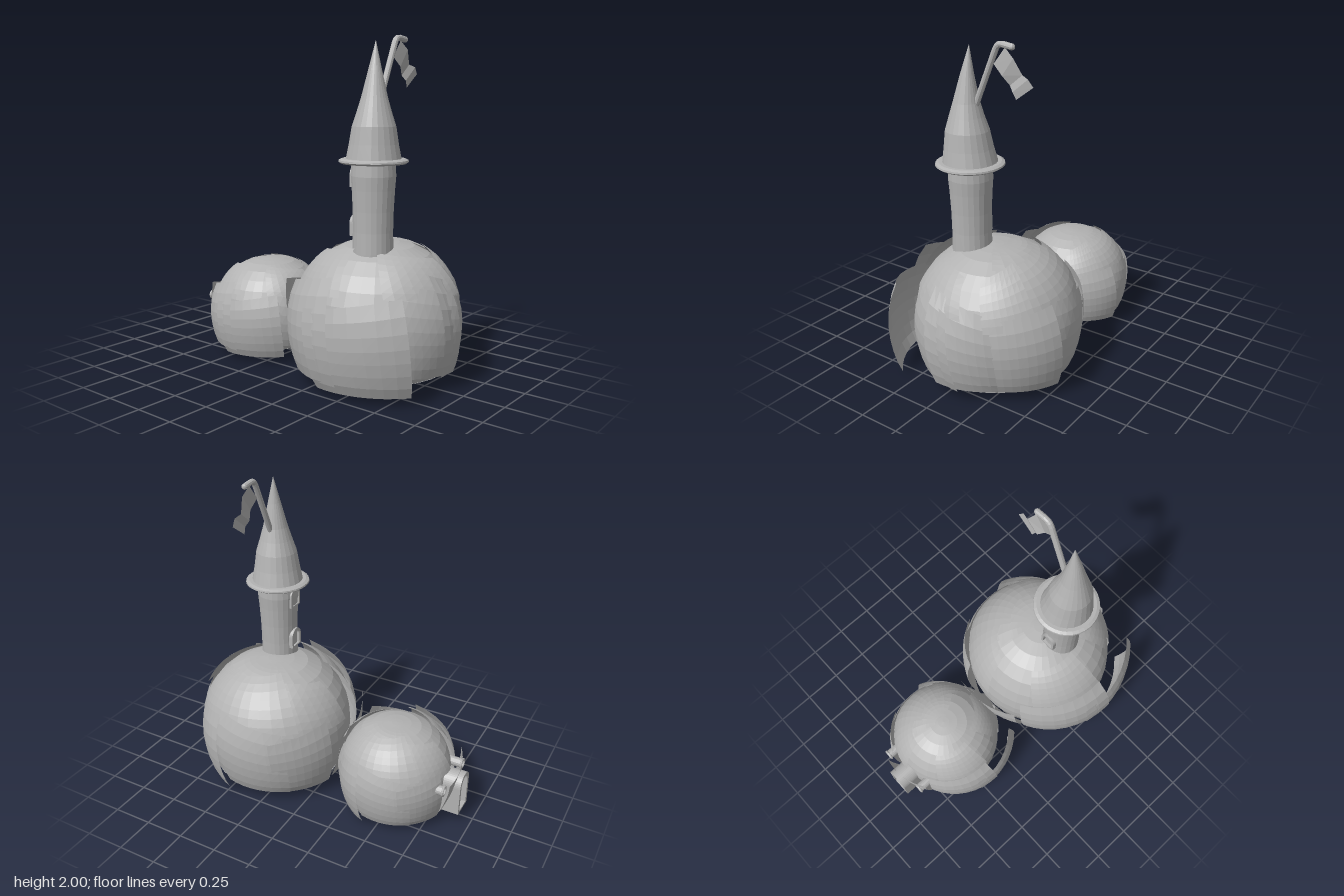
import * as THREE from 'three';

const stone = new THREE.MeshStandardMaterial({ color: 0xb2b2b2, flatShading: true, side: THREE.DoubleSide });
stone.name = 'stone grey';

function add(parent, name, geometry, x = 0, y = 0, z = 0) {
  const mesh = new THREE.Mesh(geometry, stone);
  mesh.name = name;
  mesh.position.set(x, y, z);
  parent.add(mesh);
  return mesh;
}

const V2 = (list) => list.map(([r, y]) => new THREE.Vector2(r, y));

// Dome outline from the tucked-under rim (t = 0) to the crown (t = 1)
const outline = new THREE.SplineCurve(V2([
  [0.34, 0.0], [0.42, 0.06], [0.457, 0.14], [0.48, 0.25], [0.486, 0.36],
  [0.468, 0.48], [0.418, 0.6], [0.325, 0.71], [0.2, 0.78], [0.08, 0.8], [0, 0.805],
]));

// Curved shell plate: starts at azimuth a0, sweeps to a1, lifting off the dome
function plateGeometry([a0, a1, t0, t1, lift0, lift1, skew = 0, curl = 0]) {
  const g = new THREE.PlaneGeometry(1, 1, 8, 7);
  const p = g.attributes.position;
  for (let i = 0; i < p.count; i++) {
    const u = p.getX(i) + 0.5, v = p.getY(i) + 0.5;
    const t = THREE.MathUtils.clamp(t0 + (t1 - t0) * v + skew * (u - 0.5) * (0.4 + v), 0, 0.985);
    const q = outline.getPoint(t), d = outline.getTangent(t);
    const lift = lift0 + (lift1 - lift0) * u + curl * v * v;
    const r = q.x + d.y * lift, y = Math.max(0, q.y - d.x * lift * 0.6);
    const a = THREE.MathUtils.degToRad(a0 + (a1 - a0) * u + 6 * (v - 0.5));
    p.setXYZ(i, r * Math.cos(a), y, r * Math.sin(a));
  }
  g.computeVertexNormals();
  return g;
}

// azimuth start/end (0 = +x, 90 = +z), outline start/end, lift start/end, skew, curl
const plates = [
  [98, 40, 0.13, 0.53, 0.115, 0.16, 0.05],
  [146, 82, 0.16, 0.59, 0.045, 0.135, 0.05],
  [194, 148, 0.1, 0.5, 0.035, 0.03, 0.05, 0.085],
  [38, -6, 0.15, 0.59, 0.012, 0.045, -0.05],
  [-36, 12, 0.14, 0.6, 0.0, 0.05, 0.06],
  [326, 281, 0.13, 0.56, 0.0, 0.065, 0.03],
  [285, 232, 0.13, 0.56, 0.02, 0.035, -0.04],
  [242, 198, 0.12, 0.52, 0.025, 0.045, 0.05, 0.02],
  [125, 165, 0.03, 0.15, 0.008, 0.01],
  [225, 185, 0.03, 0.15, 0.008, 0.01],
  [150, 172, 0.0, 0.12, 0.0, 0.004],
  [335, 298, 0.5, 0.74, 0.006, 0.025, 0.05],
  [300, 225, 0.52, 0.78, 0.012, 0.025, 0.04],
  [245, 180, 0.5, 0.74, 0.012, 0.03, -0.05],
  [142, 84, 0.55, 0.75, 0.03, 0.055, 0.03],
  [55, -10, 0.55, 0.74, 0.008, 0.04, -0.05],
  [200, 330, 0.74, 0.92, 0.006, 0.015, 0.03],
];

function shellDome(name, x, z, scale) {
  const dome = new THREE.Group();
  dome.name = name;
  const core = [];
  for (let i = 0; i <= 13; i++) core.push(outline.getPoint(0.1 + 0.9 * i / 13));
  core[13].x = 0;
  add(dome, 'domeCore', new THREE.LatheGeometry(core, 34));
  add(dome, 'domeBase', new THREE.CircleGeometry(0.425, 34), 0, 0.062, 0).rotation.x = Math.PI / 2;
  plates.forEach((spec) => add(dome, 'shellPlate', plateGeometry(spec)));
  dome.position.set(x, 0, z);
  dome.scale.setScalar(scale);
  return dome;
}

// Round-topped outline standing on y = 0
function archPath(path, half, height, foot = 0) {
  path.moveTo(-half, foot);
  path.lineTo(half, foot);
  path.lineTo(half, height - half);
  path.absarc(0, height - half, half, 0, Math.PI, false);
  path.lineTo(-half, foot);
  return path;
}

// Open arch frame looking toward -x
function archFrame(parent, name, half, height, rim, depth, x, y, z) {
  const shape = archPath(new THREE.Shape(), half, height);
  shape.holes.push(archPath(new THREE.Path(), half - rim, height - rim, rim * 0.6));
  const g = new THREE.ExtrudeGeometry(shape, { depth, bevelEnabled: false, curveSegments: 10 });
  add(parent, name, g, x, y, z).rotation.y = -Math.PI / 2;
}

export function createModel() {
  const model = new THREE.Group();
  model.name = 'domeCastle';

  // Two plated domes
  model.add(shellDome('largeDome', 0.392, -0.042, 1), shellDome('smallDome', -0.478, -0.042, 0.725));

  // Tower with a pinched waist
  const tower = new THREE.Group();
  tower.name = 'tower';
  tower.position.set(0.44, 0, 0.09);
  model.add(tower);
  add(tower, 'towerWall', new THREE.LatheGeometry(V2([
    [0.122, 0.6], [0.119, 0.76], [0.116, 0.88], [0.118, 1.0], [0.124, 1.12], [0.13, 1.2], [0.126, 1.28],
  ]), 24));
  for (const y of [0.845, 1.13]) archFrame(tower, 'towerWindow', 0.052, 0.125, 0.016, 0.05, -0.08, y, 0);

  // Eave ring and slightly crooked roof
  add(tower, 'eaveRing', new THREE.LatheGeometry(V2([
    [0.12, 1.27], [0.185, 1.27], [0.2, 1.28], [0.198, 1.29], [0.18, 1.298], [0.155, 1.298],
  ]), 32));
  const rings = [[0.16, 1.29], [0.142, 1.38], [0.126, 1.48], [0.1, 1.56], [0.076, 1.64], [0.04, 1.79], [0.001, 1.955]];
  const roof = new THREE.LatheGeometry(V2(rings), 24);
  const p = roof.attributes.position;
  for (let i = 0; i < p.count; i++) {
    const h = THREE.MathUtils.clamp((p.getY(i) - 1.29) / 0.66, 0, 1);
    const s = Math.sin(h * Math.PI);
    p.setX(i, p.getX(i) + 0.009 * s);
    p.setZ(i, p.getZ(i) + 0.016 * s - 0.012 * h);
  }
  roof.computeVertexNormals();
  add(tower, 'roof', roof);

  // Leaning flagpole with a bent end
  const pole = new THREE.CurvePath();
  const bend = [[1.62, 0.04], [1.965, -0.11], [1.982, -0.135], [1.972, -0.21]]
    .map(([y, z]) => new THREE.Vector3(0.445, y, z));
  for (let i = 0; i < 3; i++) pole.add(new THREE.LineCurve3(bend[i], bend[i + 1]));
  add(model, 'flagpole', new THREE.TubeGeometry(pole, 24, 0.018, 10));
  for (const end of [bend[0], bend[3]]) add(model, 'poleCap', new THREE.SphereGeometry(0.018, 10, 6), end.x, end.y, end.z);

  // Waving flag with a blunt notched end
  const top = [[1.965, -0.165], [1.915, -0.225], [1.83, -0.27], [1.815, -0.315], [1.775, -0.345]];
  const low = [[1.87, -0.09], [1.815, -0.15], [1.765, -0.19], [1.735, -0.215], [1.695, -0.235]];
  const flag = new THREE.PlaneGeometry(1, 1, 4, 1);
  [...top, ...low].forEach(([y, z], i) =>
    flag.attributes.position.setXYZ(i, 0.445 + [0, 0.01, -0.008, 0.006, 0][i % 5], y, z));
  flag.computeVertexNormals();
  add(model, 'flag', flag);

  // Arched doorway and two portholes on the small dome
  archFrame(model, 'doorway', 0.075, 0.265, 0.022, 0.155, -0.78, 0.08, -0.025);
  for (const z of [-0.19, 0.12]) {
    const tube = add(model, 'portholeTube', new THREE.CylinderGeometry(0.03, 0.03, 0.14, 16, 1, true), -0.795, 0.3, z);
    tube.rotation.z = Math.PI / 2;
    const rim = add(model, 'portholeRim', new THREE.TorusGeometry(0.028, 0.008, 8, 18), -0.863, 0.3, z);
    rim.rotation.y = Math.PI / 2;
  }
  return model;
}
